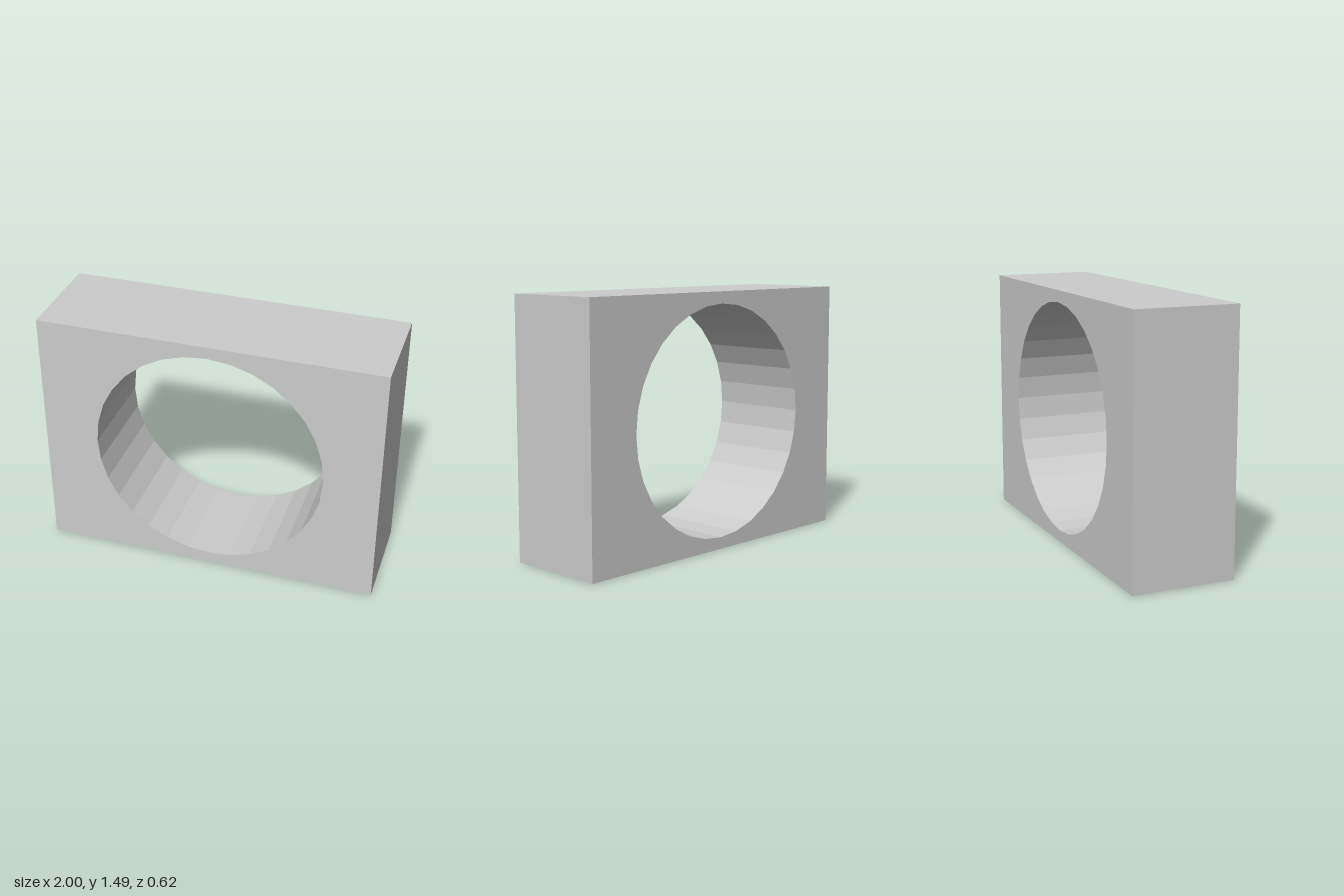
import * as THREE from 'three';

export function createModel() {
  const width = 1.9967, height = 1.49, depth = 0.605, radius = 0.676;
  const group = new THREE.Group();
  group.name = 'piercedBlock';

  // Rectangular face with a round through-hole
  const face = new THREE.Shape([
    new THREE.Vector2(-width / 2, 0),
    new THREE.Vector2(width / 2, 0),
    new THREE.Vector2(width / 2, height),
    new THREE.Vector2(-width / 2, height),
  ]);
  const hole = new THREE.Path();
  hole.absarc(0, height / 2, radius, 0, Math.PI * 2, true);
  face.holes.push(hole);

  // 16 curve segments give a 32-sided bore
  const geometry = new THREE.ExtrudeGeometry(face, { depth, bevelEnabled: false, curveSegments: 16 });
  geometry.translate(0, 0, -depth / 2);

  const block = new THREE.Mesh(geometry, new THREE.MeshStandardMaterial({ color: 0xcccccc, flatShading: true }));
  block.name = 'blockWithRoundHole';
  block.rotation.y = -0.0055; // very slight turn about the vertical
  group.add(block);
  return group;
}
